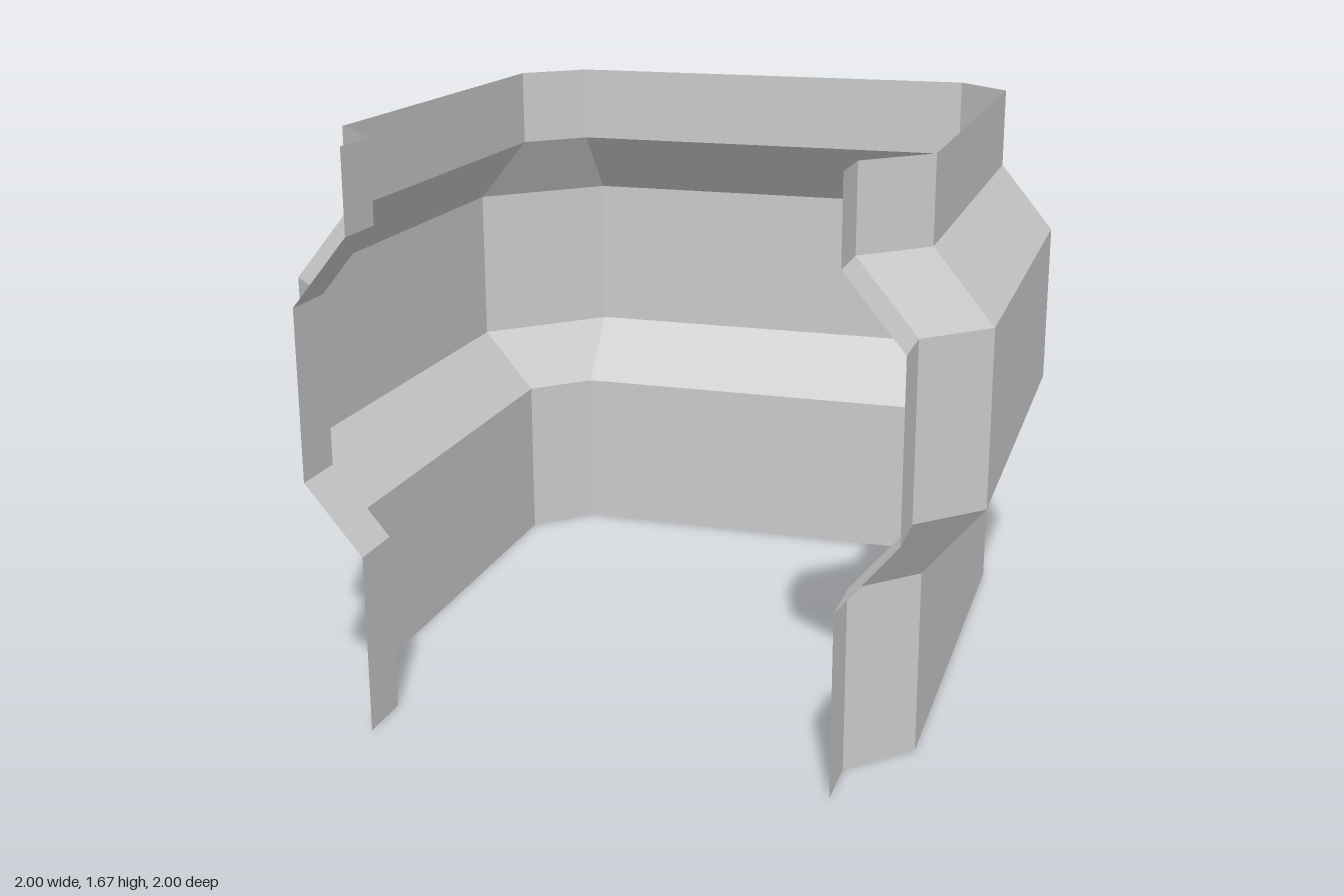
import * as THREE from 'three';

// Half of the floor plan, front end to back corner: [x, z, bulge direction x, bulge direction z]
const HALF_PLAN = [
  [0.665, 1, 1, 0],
  [0.665, 0.833, 1, 0],
  [0.833, 0.665, 1, 0],
  [0.833, -0.665, 1, 0],
  [0.665, -0.833, 0, -1],
];
const BULGE = 0.167;

// Wall profile: [height, bulge amount 0..1]
const PROFILE = [[0, 0], [0.527, 0], [0.728, 1], [1.225, 1], [1.428, 0], [1.668, 0]];

// Sweeps two neighbouring profile points along the plan as one band of flat quads
function bandGeometry(plan, lower, upper) {
  const point = ([x, z, dx, dz], [y, b]) => [x + dx * b * BULGE, y, z + dz * b * BULGE];
  const positions = [];
  for (let i = 0; i < plan.length - 1; i++) {
    const a = point(plan[i], lower), b = point(plan[i + 1], lower);
    const c = point(plan[i + 1], upper), d = point(plan[i], upper);
    positions.push(...a, ...b, ...c, ...a, ...c, ...d);
  }
  const geometry = new THREE.BufferGeometry();
  geometry.setAttribute('position', new THREE.Float32BufferAttribute(positions, 3));
  geometry.computeVertexNormals();
  return geometry;
}

export function createModel() {
  const group = new THREE.Group();
  group.name = 'openWallShell';
  const material = new THREE.MeshStandardMaterial({
    color: 0xcccccc, flatShading: true, side: THREE.DoubleSide,
  });

  // Mirror the half plan: left front, round the back, to right front
  const mirrored = HALF_PLAN.map(([x, z, dx, dz]) => [-x, z, -dx, dz]).reverse();
  const plan = [...HALF_PLAN, ...mirrored];

  // One mesh per horizontal band of the wall
  const names = ['lowerWall', 'lowerSlope', 'bulgeWall', 'upperSlope', 'upperWall'];
  names.forEach((name, i) => {
    const mesh = new THREE.Mesh(bandGeometry(plan, PROFILE[i], PROFILE[i + 1]), material);
    mesh.name = name;
    group.add(mesh);
  });
  return group;
}
